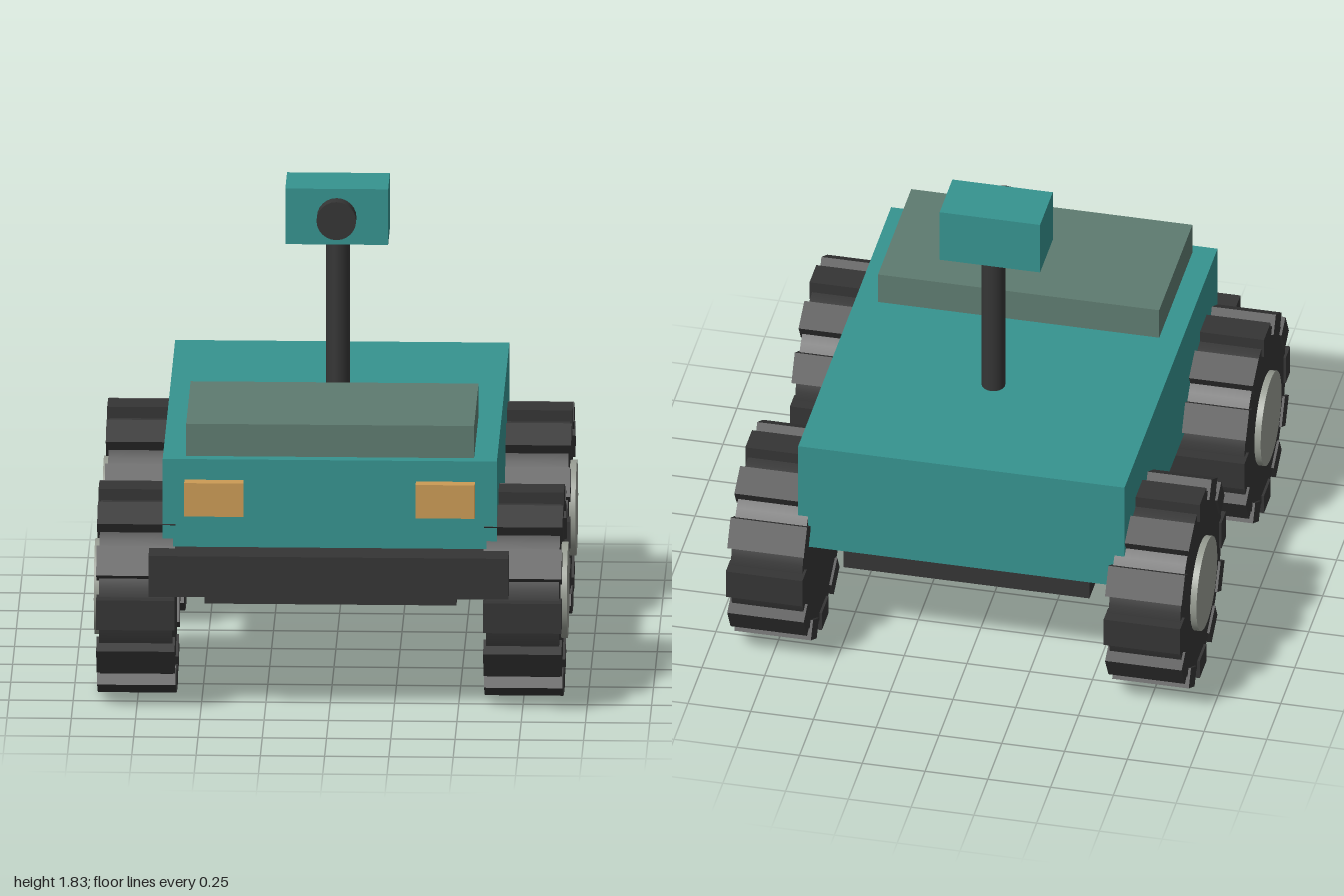
import * as THREE from 'three';

const material = (name, color) => {
  const m = new THREE.MeshStandardMaterial({ color });
  m.name = name;
  return m;
};

export function createModel() {
  const teal = material('teal paint', 0x36938f);
  const sage = material('sage panel', 0x5e7b70);
  const amber = material('amber lamp', 0xcb9b55);
  const black = material('black rubber', 0x353535);
  const grey = material('grey hub', 0x979c92);

  const rover = new THREE.Group();
  rover.name = 'rover';

  const add = (parent, name, geometry, mat) => {
    const mesh = new THREE.Mesh(geometry, mat);
    mesh.name = name;
    parent.add(mesh);
    return mesh;
  };

  // Box given by its min and max on each axis
  const box = (name, mat, [x0, x1], [y0, y1], [z0, z1]) =>
    add(rover, name, new THREE.BoxGeometry(x1 - x0, y1 - y0, z1 - z0), mat)
      .position.set((x0 + x1) / 2, (y0 + y1) / 2, (z0 + z1) / 2);

  // Body, chassis, bumper and deck panel
  box('body', teal, [-0.65, 0.65], [0.53, 1], [-0.85, 0.815]);
  box('chassis', black, [-0.49, 0.49], [0.39, 0.56], [-0.76, 0.725]);
  box('bumper', black, [-0.7, 0.7], [0.495, 0.66], [0.865, 1]);
  box('deckPanel', sage, [-0.56, 0.56], [0.99, 1.13], [0.175, 0.77]);

  // Headlights
  box('leftHeadlight', amber, [0.335, 0.565], [0.782, 0.917], [0.8, 0.865]);
  box('rightHeadlight', amber, [-0.565, -0.335], [0.782, 0.917], [0.8, 0.865]);

  // Camera mast, head and lens
  add(rover, 'mast', new THREE.CylinderGeometry(0.046, 0.046, 0.64, 24), black)
    .position.set(0, 1.3, -0.275);
  box('cameraHead', teal, [-0.2, 0.2], [1.605, 1.83], [-0.34, -0.112]);
  const lens = add(rover, 'cameraLens', new THREE.CylinderGeometry(0.077, 0.077, 0.08, 24), black);
  lens.rotation.x = Math.PI / 2;
  lens.position.set(0, 1.716, -0.095);

  // Wheels: tyre and hub along x, with twelve tread blocks around
  const tyre = new THREE.CylinderGeometry(0.37, 0.37, 0.285, 48).rotateZ(Math.PI / 2);
  const hub = new THREE.CylinderGeometry(0.187, 0.187, 0.1, 40).rotateZ(Math.PI / 2);
  const tread = new THREE.BoxGeometry(0.305, 0.08, 0.12).translate(0, 0.37, 0);
  for (const [end, z] of [['front', 0.56], ['rear', -0.59]]) {
    for (const [label, side] of [['Left', 1], ['Right', -1]]) {
      const wheel = new THREE.Group();
      wheel.name = `${end}${label}Wheel`;
      wheel.position.set(side * 0.7525, 0.41, z);
      add(wheel, 'tyre', tyre, black);
      add(wheel, 'hub', hub, grey).position.x = side * 0.1175;
      for (let i = 0; i < 12; i++) {
        add(wheel, 'treadBlock', tread, black).rotation.x = (i * Math.PI) / 6;
      }
      rover.add(wheel);
    }
  }

  return rover;
}
